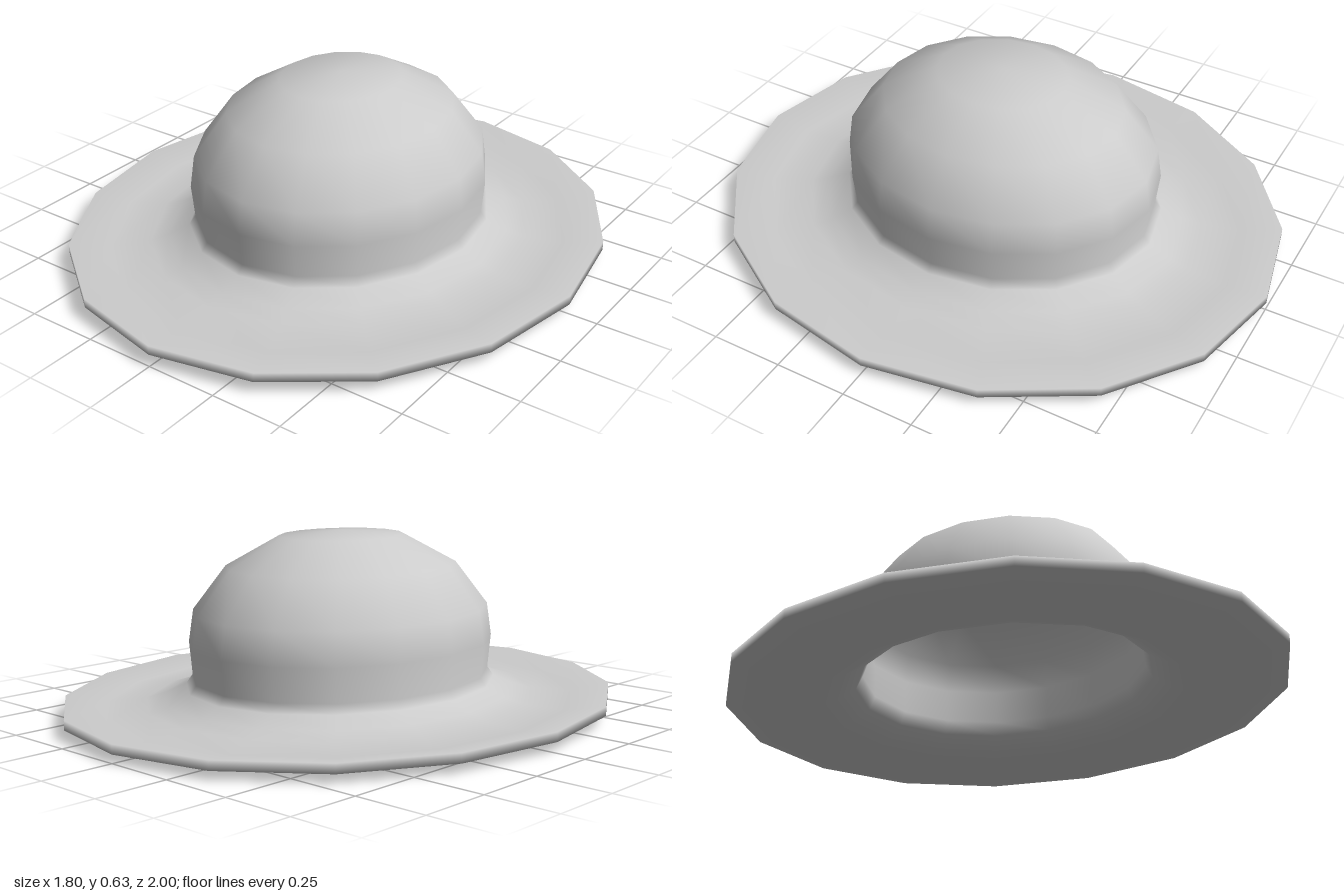
import * as THREE from 'three';
import { mergeVertices } from 'three/addons/utils/BufferGeometryUtils.js';

const SIDES = 16;
const TILT = 0.0075; // the front of the brim sits slightly higher

// Half-width / height profile: inner lining from the top down, round the rim, up the outside
const PROFILE = [
  // lining
  [0, 0.595], [0.185, 0.578], [0.34, 0.485], [0.44, 0.35], [0.455, 0.25], [0.45, 0.13],
  [0.47, 0.085], [0.54, 0.04], [0.63, 0.018],
  // underside and rim
  [0.765, 0.007], [0.9, 0.036], [0.9, 0.068],
  // top of brim
  [0.765, 0.045], [0.63, 0.055], [0.57, 0.073], [0.5, 0.105],
  // crown
  [0.48, 0.135], [0.49, 0.25], [0.475, 0.362], [0.37, 0.51], [0.2, 0.61], [0, 0.627],
];

function hatGeometry() {
  const points = PROFILE.map(([x, y]) => new THREE.Vector2(x, y));
  const lathe = new THREE.LatheGeometry(points, SIDES);
  // Lengthen to an oval: the crown is a little more oval than the brim
  const pos = lathe.attributes.position;
  for (let i = 0; i < pos.count; i++) {
    const x = pos.getX(i), z = pos.getZ(i);
    const r = Math.hypot(x, z);
    const stretch = THREE.MathUtils.mapLinear(THREE.MathUtils.clamp(r, 0.5, 0.9), 0.5, 0.9, 1.145, 1.111);
    pos.setZ(i, z * stretch);
    pos.setY(i, pos.getY(i) + z * stretch * TILT);
  }
  // Weld the seam so the shading is smooth all round
  lathe.deleteAttribute('normal');
  lathe.deleteAttribute('uv');
  const geometry = mergeVertices(lathe, 1e-4);
  geometry.computeVertexNormals();
  return geometry;
}

export function createModel() {
  const model = new THREE.Group();
  model.name = 'hat';
  const material = new THREE.MeshStandardMaterial({ color: 0xcccccc });
  const shell = new THREE.Mesh(hatGeometry(), material);
  shell.name = 'crownAndBrim';
  model.add(shell);
  return model;
}
